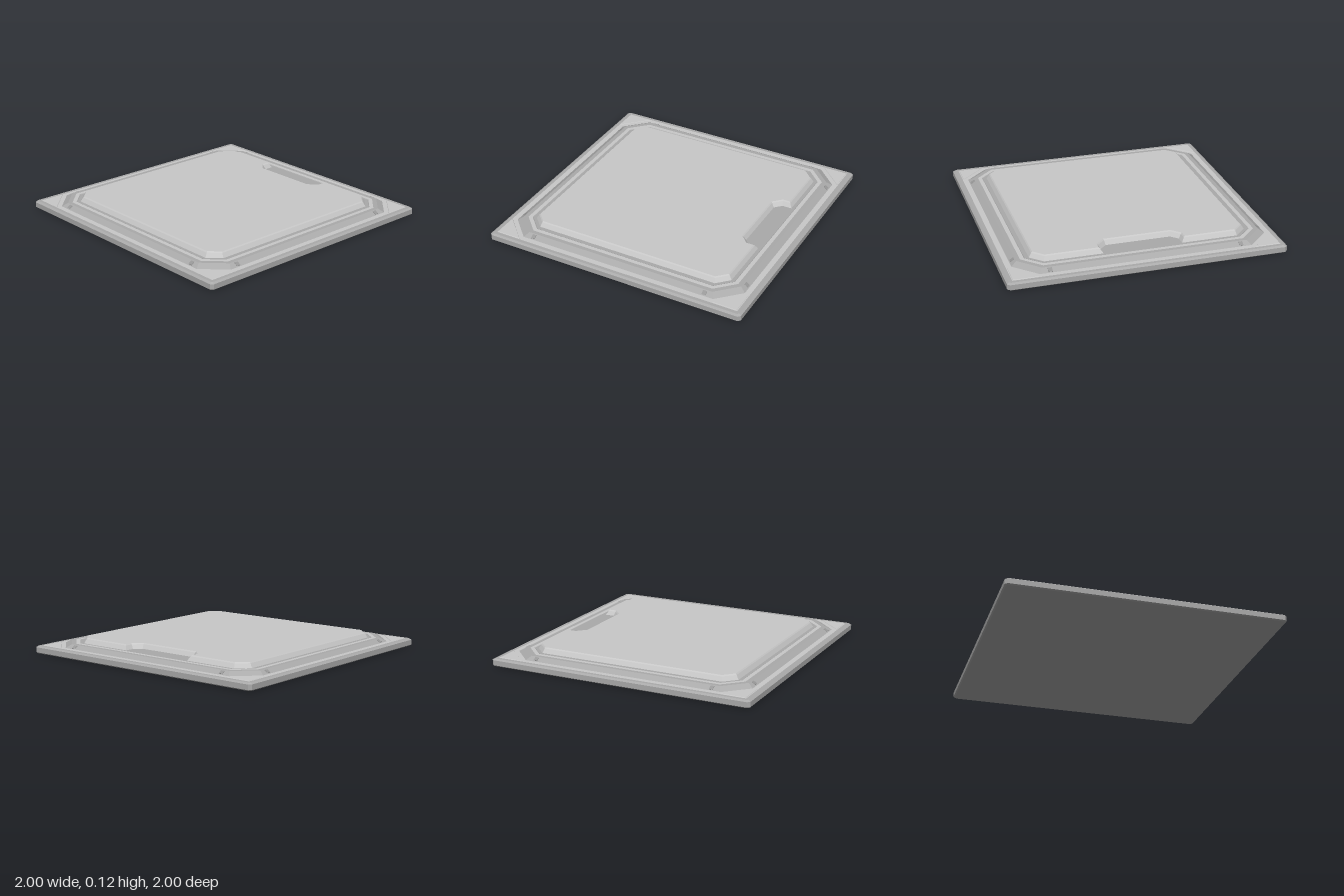
import * as THREE from 'three';

const material = (name, color) => {
  const m = new THREE.MeshStandardMaterial({ color });
  m.name = name;
  return m;
};

// Square outline with cut corners, as [x, z] points
function octagon(h, cut) {
  const k = h - cut;
  return [[h, -k], [h, k], [k, h], [-k, h], [-h, k], [-h, -k], [-k, -h], [k, -h]];
}

// Moves every edge of an outline inwards by t
function inset(points, t) {
  const n = points.length;
  const normal = (a, b) => {
    const l = Math.hypot(b[0] - a[0], b[1] - a[1]);
    return [-(b[1] - a[1]) / l, (b[0] - a[0]) / l];
  };
  return points.map((p, i) => {
    const u = normal(points[(i + n - 1) % n], p);
    const v = normal(p, points[(i + 1) % n]);
    const s = t / (1 + u[0] * v[0] + u[1] * v[1]);
    return [p[0] + (u[0] + v[0]) * s, p[1] + (u[1] + v[1]) * s];
  });
}

// Joins outlines from the outside up and in; every level is [outline, y]
function loft(name, mat, levels, { top = false, bottom = false } = {}) {
  const pos = [];
  const put = ([p, y], i) => pos.push(p[i][0], y, p[i][1]);
  for (let k = 0; k + 1 < levels.length; k++) {
    const a = levels[k], b = levels[k + 1], n = a[0].length;
    for (let i = 0; i < n; i++) {
      const j = (i + 1) % n;
      put(a, i); put(b, i); put(b, j);
      put(a, i); put(b, j); put(a, j);
    }
  }
  const cap = (level, up) => {
    const contour = level[0].map(([x, z]) => new THREE.Vector2(x, z));
    for (const [a, b, c] of THREE.ShapeUtils.triangulateShape(contour, [])) {
      for (const i of up ? [a, c, b] : [a, b, c]) put(level, i);
    }
  };
  if (top) cap(levels[levels.length - 1], true);
  if (bottom) cap(levels[0], false);
  const geometry = new THREE.BufferGeometry();
  geometry.setAttribute('position', new THREE.Float32BufferAttribute(pos, 3));
  geometry.computeVertexNormals();
  const mesh = new THREE.Mesh(geometry, mat);
  mesh.name = name;
  return mesh;
}

export function createModel() {
  const light = material('light grey', 0xc8c8c8);
  const medium = material('medium grey', 0xaaaaaa);
  const dark = material('dark grey', 0x989898);
  const model = new THREE.Group();
  model.name = 'floorHatch';

  // Base slab with bevelled rim
  model.add(loft('baseRim', medium, [
    [octagon(0.99, 0.015), 0], [octagon(1, 0.018), 0.008], [octagon(1, 0.018), 0.045],
    [octagon(0.985, 0.012), 0.055], [octagon(0.96, 0.001), 0.055],
  ], { bottom: true }));
  model.add(loft('baseTop', light, [[octagon(0.96, 0.001), 0.055]], { top: true }));

  // Thin triangular corner plates
  for (let i = 0; i < 4; i++) {
    const tri = [[0.955, 0.77], [0.955, 0.955], [0.77, 0.955]];
    const plate = loft('cornerPlate', light, [[tri, 0.054], [inset(tri, 0.003), 0.058]], { top: true });
    plate.rotation.y = i * Math.PI / 2;
    model.add(plate);
  }

  // Stepped octagonal frame
  model.add(loft('frameSlope', medium, [
    [octagon(0.92, 0.16), 0.055], [octagon(0.88, 0.145), 0.08], [octagon(0.85, 0.13), 0.08],
  ]));
  model.add(loft('frameBand', light, [
    [octagon(0.85, 0.13), 0.08], [octagon(0.82, 0.11), 0.08],
  ]));
  model.add(loft('deck', medium, [
    [octagon(0.82, 0.11), 0.08], [octagon(0.815, 0.108), 0.077],
  ], { top: true }));

  // Small marks lying on the frame slope, two on each side
  for (let i = 0; i < 4; i++) {
    for (const s of [-1, 1]) {
      const side = new THREE.Group();
      side.name = 'frameMark';
      const mark = new THREE.Mesh(new THREE.BoxGeometry(0.03, 0.004, 0.032), dark);
      mark.position.set(s * 0.685, 0.068, 0.9);
      mark.rotation.x = Math.atan2(0.025, 0.04);
      side.add(mark);
      side.rotation.y = i * Math.PI / 2;
      model.add(side);
    }
  }

  // Raised lid with a handle notch on its left side
  const lid = [
    [0.79, 0.28], [0.79, 0.7], [0.705, 0.785], [-0.705, 0.785], [-0.79, 0.7],
    [-0.79, -0.7], [-0.705, -0.785], [0.705, -0.785], [0.79, -0.7], [0.79, -0.29],
    [0.72, -0.29], [0.672, -0.24], [0.672, 0.23], [0.72, 0.28],
  ];
  model.add(loft('lid', light, [
    [lid, 0.077], [inset(lid, 0.018), 0.107], [inset(lid, 0.026), 0.115],
  ], { top: true }));

  return model;
}
